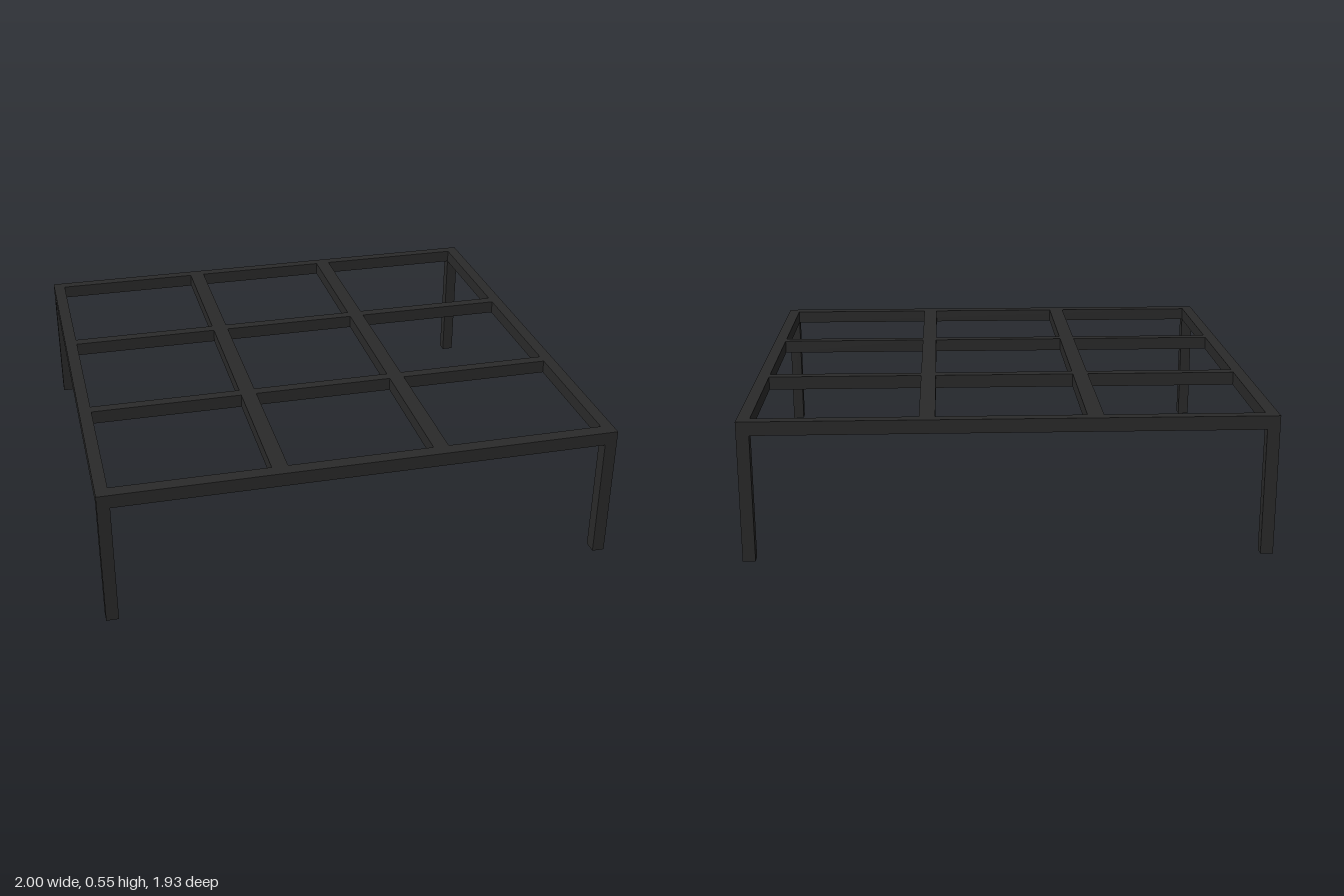
import * as THREE from 'three';

export function createModel() {
  const group = new THREE.Group();
  const material = new THREE.MeshStandardMaterial({ color: 0x2a2a2a });

  // Box beam given by its limits on each axis
  function beam(name, [x0, x1], [y0, y1], [z0, z1]) {
    const mesh = new THREE.Mesh(new THREE.BoxGeometry(x1 - x0, y1 - y0, z1 - z0), material);
    mesh.position.set((x0 + x1) / 2, (y0 + y1) / 2, (z0 + z1) / 2);
    mesh.name = name;
    group.add(mesh);
  }

  const deck = [0.492, 0.545];
  const right = [-1, -0.952], left = [0.952, 1];
  const back = [-0.965, -0.921], front = [0.911, 0.965];

  // Outer frame: front and back rails run full width, side rails fit between
  beam('frontRail', [-1, 1], deck, front);
  beam('backRail', [-1, 1], deck, back);
  beam('rightRail', right, deck, [back[1], front[0]]);
  beam('leftRail', left, deck, [back[1], front[0]]);

  // Long inner bars from back to front
  const longBars = [[-0.35, -0.288], [0.274, 0.334]];
  for (const x of longBars) beam('longBar', x, deck, [back[1], front[0]]);

  // Cross bars, in pieces between the long bars
  const stops = [right, ...longBars, left];
  for (const z of [[-0.334, -0.29], [0.291, 0.334]]) {
    for (let i = 0; i < stops.length - 1; i++) {
      beam('crossBar', [stops[i][1], stops[i + 1][0]], deck, z);
    }
  }

  // Corner legs
  for (const x of [right, left]) {
    for (const z of [back, front]) beam('leg', x, [0, deck[0]], z);
  }

  return group;
}
